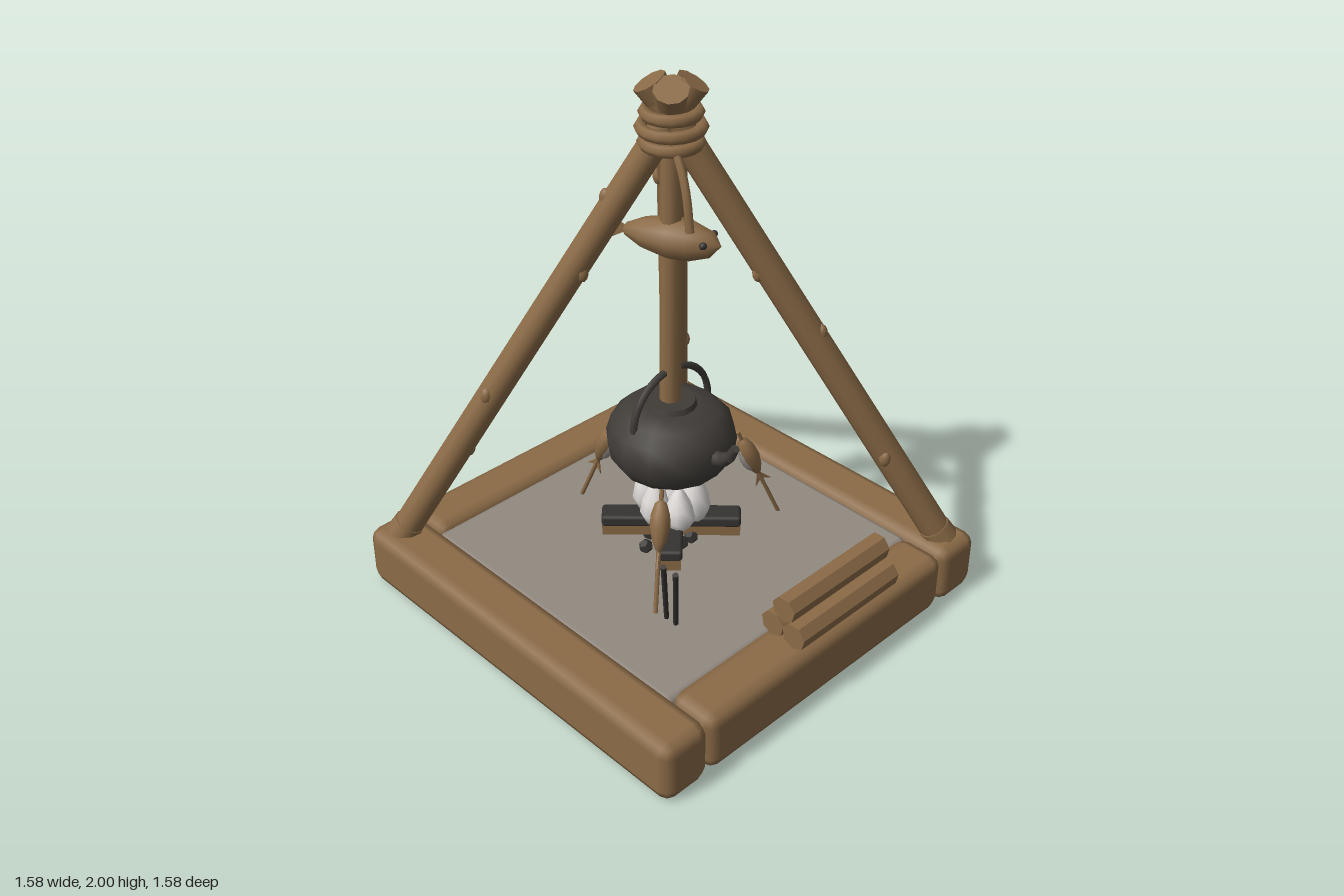
import * as THREE from 'three';
import { RoundedBoxGeometry } from 'three/addons/geometries/RoundedBoxGeometry.js';

const mat = (name, color, extra = {}) => {
  const m = new THREE.MeshStandardMaterial({ color, ...extra });
  m.name = name;
  return m;
};
const V = (x, y, z) => new THREE.Vector3(x, y, z);
const UP = V(0, 1, 0);

export function createModel() {
  const wood = mat('wood', 0x8b6b47, { side: THREE.DoubleSide });
  const ash = mat('ash', 0x928a81);
  const iron = mat('iron', 0x403c38);
  const char = mat('charcoal', 0x363432);
  const smoke = mat('pale flame', 0xdedad8);
  const belly = mat('fish belly', 0x9a9590);

  const root = new THREE.Group();
  root.name = 'hearth';
  const add = (name, geo, material, pos = V(0, 0, 0), parent = root) => {
    const m = new THREE.Mesh(geo, material);
    m.name = name;
    m.position.copy(pos);
    parent.add(m);
    return m;
  };
  // Round bar from a to b
  const bar = (name, a, b, ra, rb, sides, material, parent = root) => {
    const d = b.clone().sub(a);
    const m = add(name, new THREE.CylinderGeometry(rb, ra, d.length(), sides), material, a.clone().add(b).multiplyScalar(0.5), parent);
    m.quaternion.setFromUnitVectors(UP, d.normalize());
    return m;
  };
  const lathe = (pts, sides) => new THREE.LatheGeometry(pts.map(([r, y]) => new THREE.Vector2(r, y)), sides);

  // Hearth frame and ash bed
  for (const s of [-1, 1]) {
    add('crossBeam', new RoundedBoxGeometry(1.58, 0.23, 0.195, 1, 0.045), wood, V(0, 0.115, s * 0.692));
    add('sideBeam', new RoundedBoxGeometry(0.195, 0.225, 1.19, 1, 0.045), wood, V(s * 0.692, 0.115, 0));
  }
  add('ashBed', new RoundedBoxGeometry(1.22, 0.18, 1.22, 1, 0.025), ash, V(0, 0.115, 0));

  // Tripod poles with foot collars, knots and flared tops
  for (const [sx, sz] of [[-1, -1], [1, -1], [-1, 1]]) {
    const foot = V(sx * 0.7, 0.2, sz * 0.7), top = V(-sx * 0.045, 1.96, -sz * 0.045);
    const at = t => foot.clone().lerp(top, t);
    bar('pole', foot, top, 0.055, 0.05, 10, wood);
    bar('poleTop', at(0.965), at(1.005), 0.048, 0.058, 10, wood);
    bar('footCollar', at(0.005), at(0.035), 0.063, 0.058, 10, wood);
    [0.22, 0.36, 0.5, 0.63, 0.78].forEach((t, i) => {
      const a = i * 2.4 + sx;
      const knot = add('knot', new THREE.IcosahedronGeometry(0.022, 1), wood, at(t).add(V(Math.cos(a) * 0.043, 0, Math.sin(a) * 0.043)));
      knot.scale.y = 1.5;
    });
  }

  // Rope lashing and its loose end
  [[1.87, 0.086], [1.82, 0.099], [1.77, 0.09]].forEach(([y, r]) => {
    const ring = add('ropeRing', new THREE.TorusGeometry(r, 0.021, 6, 16), wood, V(0, y, 0));
    ring.rotation.x = Math.PI / 2;
  });
  const tail = new THREE.CatmullRomCurve3([V(0.07, 1.77, 0.05), V(0.11, 1.71, 0.06), V(0.14, 1.64, 0.07), V(0.16, 1.53, 0.075)]);
  add('ropeEnd', new THREE.TubeGeometry(tail, 8, 0.015, 6), wood);

  // Fish with its head along +y
  const makeFish = (name, half, r) => {
    const g = new THREE.Group();
    g.name = name;
    add('fishBody', lathe([[0, -half], [r * 0.3, -half * 0.92], [r * 0.72, -half * 0.55], [r, 0], [r * 0.92, half * 0.4],
      [r * 0.6, half * 0.8], [0, half]], 10), wood, V(0, 0, 0), g);
    const s = new THREE.Shape();
    s.moveTo(0, -half * 0.85);
    s.lineTo(r * 0.9, -half * 1.5);
    s.lineTo(0, -half * 1.25);
    s.lineTo(-r * 0.9, -half * 1.5);
    add('tailFin', new THREE.ExtrudeGeometry(s, { depth: r * 0.14, bevelEnabled: false }), wood, V(0, 0, -r * 0.07), g);
    return g;
  };

  // Hanging pole with the fish-shaped crossbar
  bar('hangingPole', V(-0.005, 0.79, 0), V(0, 1.92, 0), 0.038, 0.036, 10, wood);
  const bigFish = makeFish('fishCrossbar', 0.175, 0.074);
  bigFish.position.set(0, 1.43, 0);
  bigFish.rotation.set(0, 0.4, -Math.PI / 2);
  for (const s of [-1, 1]) add('eye', new THREE.SphereGeometry(0.013, 8, 6), char, V(-0.015, 0.13, s * 0.048), bigFish);
  root.add(bigFish);

  // Kettle with lid, spout and bail handle
  const kettle = new THREE.Group();
  kettle.name = 'kettle';
  root.add(kettle);
  add('kettleBody', lathe([[0, 0.51], [0.14, 0.515], [0.19, 0.55], [0.222, 0.6], [0.232, 0.66], [0.215, 0.72], [0.17, 0.765], [0.1, 0.785], [0, 0.787]], 14), iron, V(0, 0, 0), kettle);
  add('lid', new THREE.CylinderGeometry(0.085, 0.095, 0.03, 14), iron, V(0, 0.79, 0), kettle);
  const spout = [V(0.19, 0.65, 0), V(0.25, 0.67, 0), V(0.285, 0.7, 0), V(0.308, 0.745, 0)];
  [0.034, 0.026, 0.02].forEach((r, i) => bar('spout', spout[i], spout[i + 1], r, [0.026, 0.02, 0.016][i], 8, iron, kettle));
  const bail = add('handle', new THREE.TorusGeometry(0.18, 0.013, 6, 18, Math.PI), iron, V(0, 0.745, 0), kettle);
  bail.rotation.y = Math.PI / 2;

  // Crossed logs charred on top, with embers below
  [Math.PI / 4, -Math.PI / 4].forEach((a, i) => {
    const log = new THREE.Group();
    log.name = 'fireLog';
    log.position.y = 0.275 + i * 0.008;
    log.rotation.y = a;
    add('logBase', new THREE.BoxGeometry(0.5, 0.05, 0.075), wood, V(0, -0.012, 0), log);
    add('logChar', new RoundedBoxGeometry(0.505, 0.045, 0.085, 1, 0.012), char, V(0, 0.022, 0), log);
    root.add(log);
  });
  for (let i = 0; i < 10; i++) {
    const a = i * 0.628 + 0.3, r = 0.08 + (i % 3) * 0.025;
    add('ember', new THREE.DodecahedronGeometry(0.027), i % 3 === 1 ? smoke : char, V(Math.cos(a) * r, 0.23, Math.sin(a) * r));
  }

  // Pale teardrop flames
  const drop = lathe([[0, 0], [0.04, 0.02], [0.06, 0.065], [0.05, 0.12], [0.025, 0.18], [0, 0.23]], 10);
  for (let i = 0; i < 6; i++) {
    const a = i * Math.PI / 3 + Math.PI / 6;
    const f = add('flame', drop, smoke, V(Math.cos(a) * 0.09, 0.3, Math.sin(a) * 0.075));
    f.scale.y = 0.85 + (i % 3) * 0.1;
  }
  add('coreFlame', drop, smoke, V(0, 0.3, 0)).scale.set(1.3, 1.1, 1.3);

  // Skewered fish leaning toward the fire
  for (const a of [3.0, -1.17, 0.9]) {
    const s = new THREE.Group();
    s.name = 'fishSkewer';
    s.rotation.y = -a;
    const low = V(0.43, 0.2, 0), high = V(0.255, 0.6, 0);
    bar('skewer', low, high, 0.008, 0.008, 6, wood, s);
    const fish = makeFish('skeweredFish', 0.095, 0.036);
    fish.position.copy(low.clone().lerp(high, 0.71));
    fish.quaternion.setFromUnitVectors(UP, high.clone().sub(low).normalize());
    const b = add('belly', new THREE.SphereGeometry(0.03, 8, 8), belly, V(-0.012, 0, 0), fish);
    b.scale.set(0.95, 2.3, 0.95);
    s.add(fish);
    root.add(s);
  }

  // Fire tongs stuck in the ash
  for (const dx of [0, 0.045]) bar('tong', V(0.31 + dx, 0.2, 0.325), V(0.42 + dx * 1.25, 0.555, 0.445), 0.009, 0.01, 6, char);

  // Spare firewood stack
  const wedge = new THREE.CylinderGeometry(0.049, 0.049, 0.49, 7).rotateX(Math.PI / 2).toNonIndexed();
  wedge.computeVertexNormals();
  for (const [x, y] of [[0.645, 0.285], [0.738, 0.283], [0.69, 0.37]]) add('firewood', wedge, wood, V(x, y, -0.085));

  return root;
}
